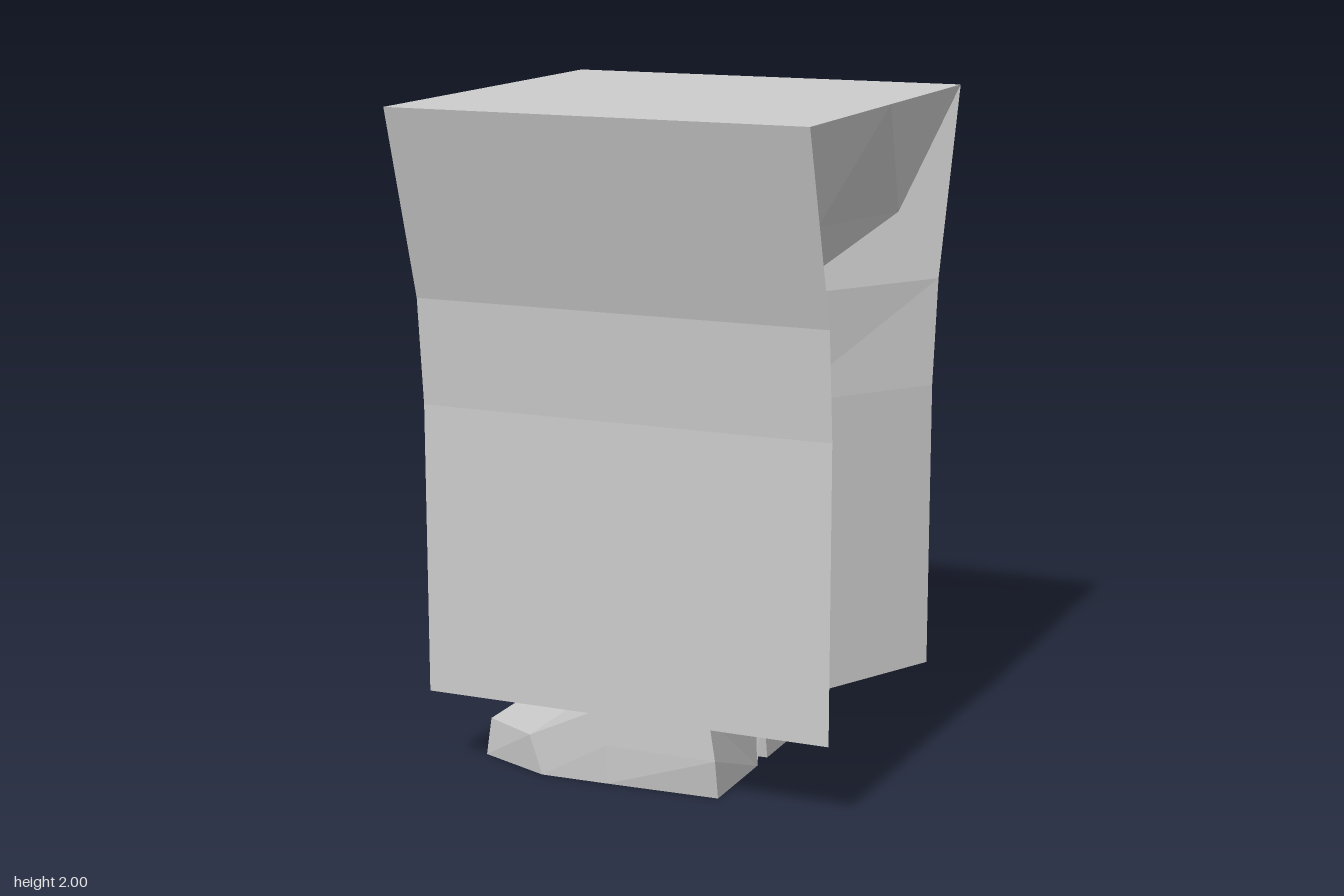
import * as THREE from 'three';

const material = new THREE.MeshStandardMaterial({ color: 0xcccccc, flatShading: true });

// Builds a faceted mesh from convex polygons (lists of [x, y, z] corners)
function facetMesh(name, polygons) {
  const pos = [];
  for (const p of polygons) {
    for (let i = 1; i < p.length - 1; i++) pos.push(...p[0], ...p[i], ...p[i + 1]);
  }
  const geo = new THREE.BufferGeometry();
  geo.setAttribute('position', new THREE.Float32BufferAttribute(pos, 3));
  geo.computeVertexNormals();
  const mesh = new THREE.Mesh(geo, material);
  mesh.name = name;
  return mesh;
}

// One quarter of the folded body; sx and sz choose the quarter
function bodyQuarter(sx, sz) {
  const w = 0.635, mid = 0.02;
  const depth = sz > 0 ? [0.635, 0.47, 0.44, 0.44] : [0.635, 0.46, 0.42, 0.42];
  const levels = [2, 1.435, 1.115, 0.24];
  const corner = levels.map((y, i) => [sx * w, y, sz * depth[i]]);
  const centre = levels.map((y, i) => [0, y, sz * depth[i]]);
  // Gusset crease, pushed inwards
  const topMid = [sx * w, 2, 0];
  const pocket = [sx * 0.42, 1.64, 0];
  const fold = [sx * 0.53, 1.64, sz * 0.385];
  const crease = [0.32, 0.32, 0.415].map((x, i) => [sx * x, levels[i + 1], mid]);

  const polys = [
    // overhanging fold below the top edge
    [corner[0], fold, topMid],
    [fold, pocket, topMid],
    [fold, crease[0], pocket],
    // side gusset
    [corner[0], corner[1], fold],
    [corner[1], crease[0], fold],
    [corner[1], corner[2], crease[1]],
    [corner[1], crease[1], crease[0]],
    [corner[2], corner[3], crease[1]],
    [corner[3], crease[2], crease[1]],
    // top and underside
    [[0, 2, 0], centre[0], corner[0], topMid],
    [crease[2], corner[3], centre[3], [0, 0.24, mid]],
  ];
  // broad front or back panel
  for (let i = 0; i < 3; i++) polys.push([centre[i], centre[i + 1], corner[i + 1], corner[i]]);
  return sx * sz > 0 ? polys : polys.map((p) => p.reverse());
}

// Foot lofted from toe to heel through three-level sections
function makeFoot(name, z) {
  // each section: [x, y, halfWidth] at sole, middle and top
  const sections = [
    [[-0.535, 0, 0.08], [-0.515, 0.12, 0.085], [-0.515, 0.12, 0.085]],
    [[-0.3, 0, 0.175], [-0.34, 0.12, 0.175], [-0.34, 0.12, 0.175]],
    [[-0.09, 0, 0.168], [-0.09, 0.12, 0.175], [-0.09, 0.24, 0.175]],
    [[0.26, 0, 0.152], [0.26, 0.12, 0.175], [0.24, 0.245, 0.175]],
  ];
  const rings = sections.map((s) => [
    ...s.map(([x, y, h]) => [x, y, h]),
    ...s.map(([x, y, h]) => [x, y, -h]).reverse(),
  ]);
  const polys = [rings[0].slice().reverse(), rings[3]];
  for (let i = 0; i < 3; i++) {
    for (let j = 0; j < 6; j++) {
      const k = (j + 1) % 6;
      polys.push([rings[i][j], rings[i + 1][j], rings[i + 1][k], rings[i][k]]);
    }
  }
  // ring order runs clockwise seen from the heel, so flip the end caps
  polys[0].reverse();
  polys[1] = polys[1].slice().reverse();
  const foot = facetMesh(name, polys);
  foot.position.z = z;
  return foot;
}

export function createModel() {
  const model = new THREE.Group();
  model.name = 'walkingBag';

  const body = [];
  for (const sx of [1, -1]) for (const sz of [1, -1]) body.push(...bodyQuarter(sx, sz));
  model.add(facetMesh('body', body));

  model.add(makeFoot('frontFoot', 0.195), makeFoot('backFoot', -0.19));
  return model;
}
